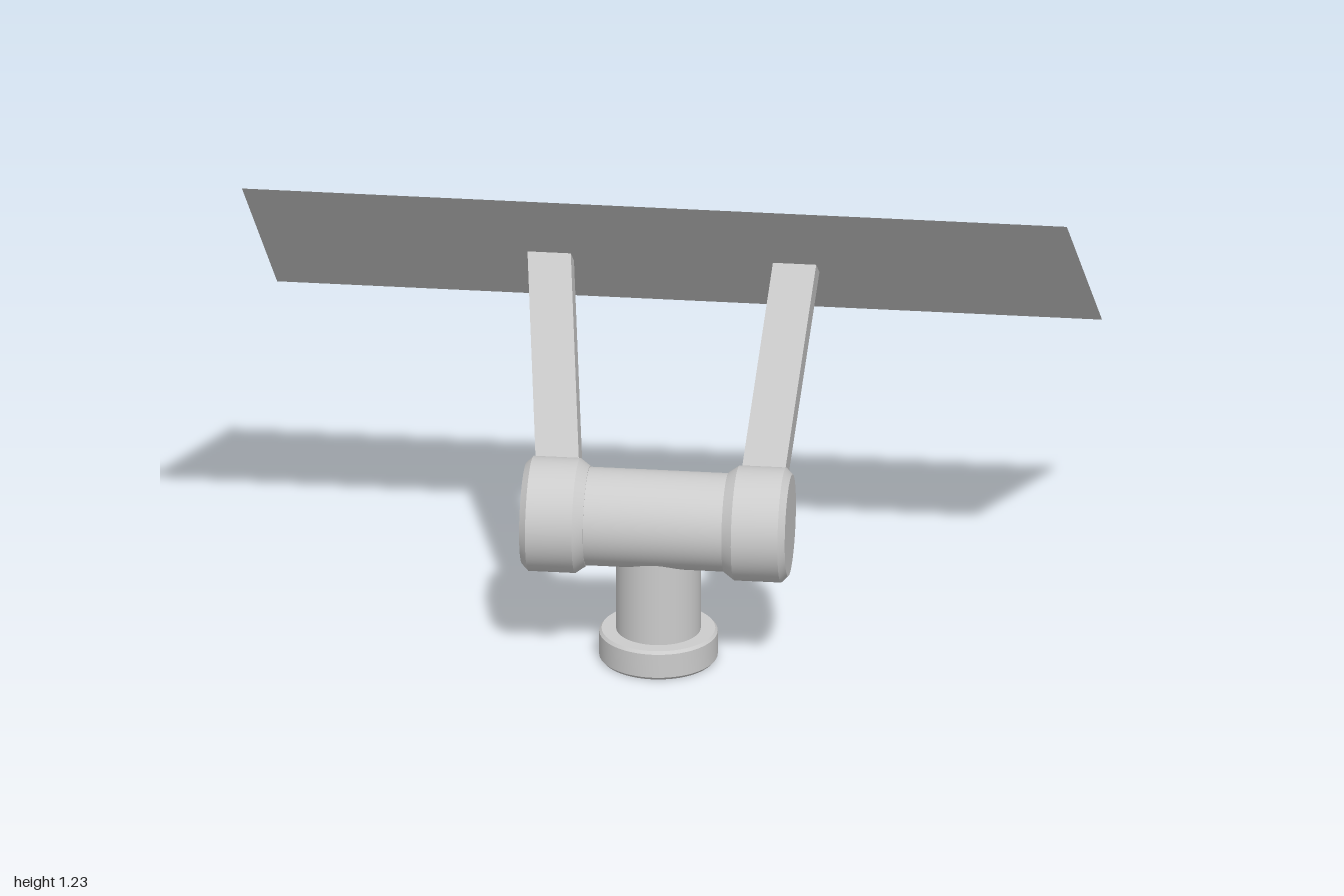
import * as THREE from 'three';
import { toCreasedNormals } from 'three/addons/utils/BufferGeometryUtils.js';

const material = new THREE.MeshStandardMaterial({ color: 0xcccccc });
const panelMaterial = new THREE.MeshStandardMaterial({ color: 0xcccccc, side: THREE.DoubleSide });

const AXLE_Y = 0.372, AXLE_Z = 0.28, STEM_Z = 0.259;

function part(name, geometry, mat = material) {
  const mesh = new THREE.Mesh(geometry, mat);
  mesh.name = name;
  return mesh;
}

// Turned solid from [radius, height] pairs, with crisp edges
function turned(points) {
  const profile = points.map(([r, y]) => new THREE.Vector2(r, y));
  return toCreasedNormals(new THREE.LatheGeometry(profile, 64), 0.4);
}

// Square arm: leans outward in x, its top cut to the slope of the panel
function armGeometry(side) {
  const length = 0.56;
  const geo = new THREE.BoxGeometry(0.105, length, 0.0875);
  geo.translate(0, length / 2, 0);
  const p = geo.attributes.position;
  for (let i = 0; i < p.count; i++) {
    const t = p.getY(i) / length;
    p.setX(i, p.getX(i) + side * 0.0535 * t);
    p.setY(i, p.getY(i) + t * p.getZ(i) * 0.11);
  }
  geo.computeVertexNormals();
  return geo;
}

export function createModel() {
  const model = new THREE.Group();
  model.name = 'tiltedPanelStand';

  // Foot and upright stem
  const foot = part('foot', turned([
    [0, 0], [0.137, 0], [0.143, 0.007], [0.143, 0.068], [0.137, 0.075], [0, 0.075],
  ]));
  foot.position.z = STEM_Z;
  const stem = part('stem', new THREE.CylinderGeometry(0.102, 0.102, 0.33, 64));
  stem.position.set(0, 0.205, STEM_Z);
  model.add(foot, stem);

  // Horizontal tube
  const tube = part('crossTube', new THREE.CylinderGeometry(0.119, 0.119, 0.5, 64));
  tube.rotation.z = Math.PI / 2;
  tube.position.set(0, AXLE_Y, AXLE_Z);
  model.add(tube);

  // End collars and arms, mirrored
  for (const side of [1, -1]) {
    const label = side > 0 ? 'left' : 'right';
    const collar = part(label + 'Collar', turned([
      [0, 0.168], [0.121, 0.168], [0.139, 0.193], [0.139, 0.306], [0.123, 0.322], [0, 0.322],
    ]));
    collar.rotation.z = -side * Math.PI / 2;
    collar.position.set(0, AXLE_Y, AXLE_Z);

    const arm = part(label + 'Arm', armGeometry(side));
    arm.position.set(side * 0.244, 0.41, 0.211);
    arm.rotation.x = -Math.PI / 6;
    model.add(collar, arm);
  }

  // Thin sloping panel, high edge at the front
  const rise = 0.6, run = 0.77;
  const panel = part('panel', new THREE.PlaneGeometry(2, Math.hypot(rise, run)), panelMaterial);
  panel.rotation.x = -Math.PI / 2 - Math.atan2(rise, run);
  panel.position.set(0, 0.93, -0.037);
  model.add(panel);

  return model;
}
